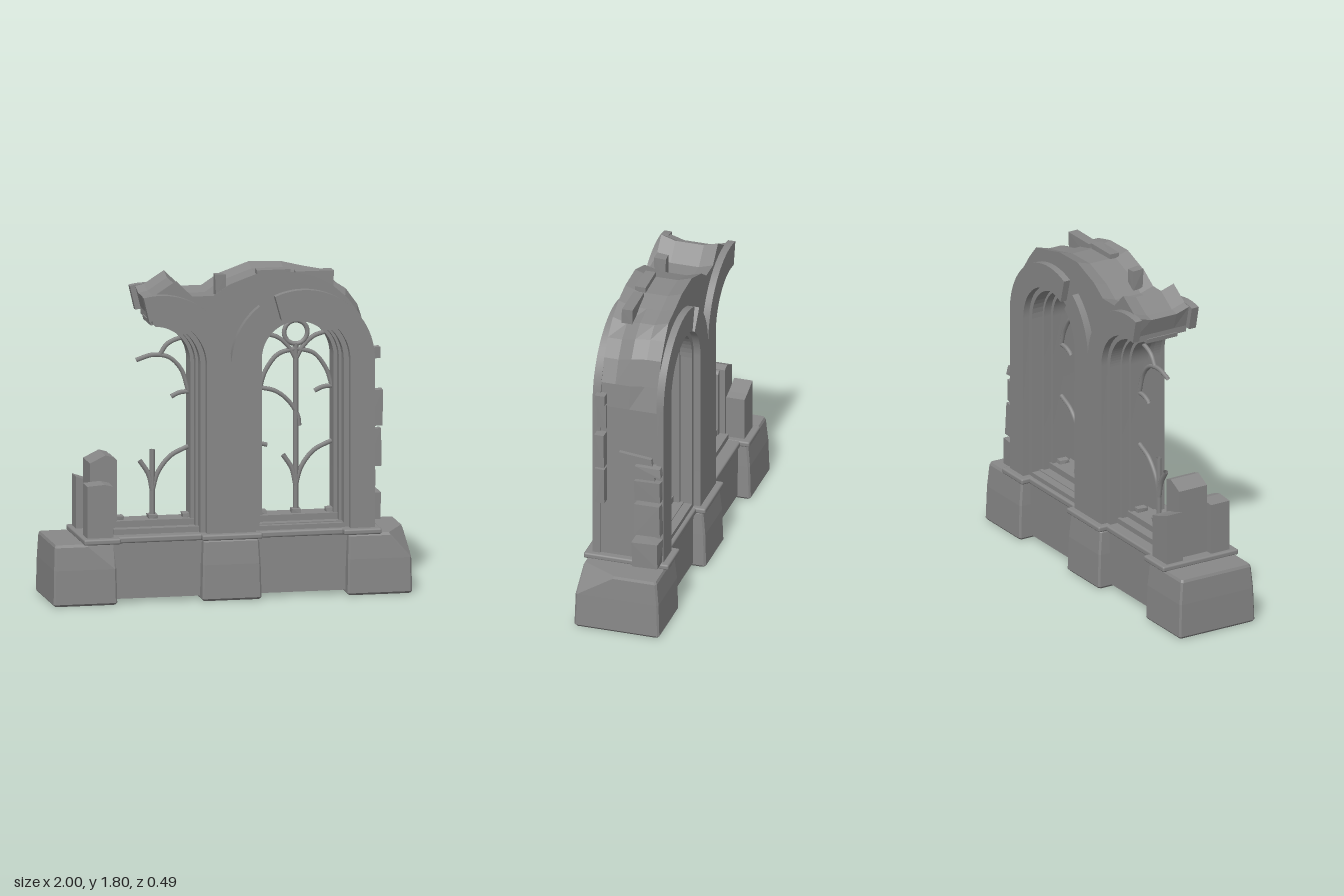
import * as THREE from 'three';
import { toCreasedNormals } from 'three/addons/utils/BufferGeometryUtils.js';
import { RoundedBoxGeometry } from 'three/addons/geometries/RoundedBoxGeometry.js';
import { ConvexGeometry } from 'three/addons/geometries/ConvexGeometry.js';

const SPRING = 1.3, FLOOR = 0.365, STONE = 0x888888;

export function createModel() {
  const model = new THREE.Group();
  const flat = new THREE.MeshStandardMaterial({ color: STONE, flatShading: true });
  const smooth = new THREE.MeshStandardMaterial({ color: STONE, side: THREE.DoubleSide });

  const add = (name, geometry, material = flat) => {
    const mesh = new THREE.Mesh(geometry, material);
    mesh.name = name;
    model.add(mesh);
    return mesh;
  };
  let seed = 7;
  const rand = () => ((seed = (seed * 16807) % 2147483647) / 2147483647) * 2 - 1;

  // Box from limits, with corners optionally knocked out of true
  const block = (name, x0, x1, y0, y1, z0, z1, rough = 0) => {
    const pts = [];
    for (const x of [x0, x1]) for (const y of [y0, y1]) for (const z of [z0, z1])
      pts.push(new THREE.Vector3(x + rand() * rough, y + rand() * rough, z + rand() * rough));
    add(name, new ConvexGeometry(pts));
  };
  const slab = (name, x0, x1, y0, y1, z0, z1) => {
    const g = new RoundedBoxGeometry(x1 - x0, y1 - y0, z1 - z0, 2, 0.01);
    g.translate((x0 + x1) / 2, (y0 + y1) / 2, (z0 + z1) / 2);
    add(name, g, smooth);
  };
  const extrude = (shape, z0, z1, steps = 1) => {
    const g = new THREE.ExtrudeGeometry(shape, { depth: z1 - z0, steps, bevelEnabled: false, curveSegments: 24 });
    return g.translate(0, 0, z0);
  };

  // Points along an arch: optional right leg, arc in degrees, optional left leg
  const archLine = (cx, r, a0, a1, bottom) => {
    const pts = [];
    if (a0 === 0) pts.push(new THREE.Vector2(cx + r, bottom));
    for (let i = 0; i <= 24; i++) {
      const a = THREE.MathUtils.degToRad(a0 + (a1 - a0) * i / 24);
      pts.push(new THREE.Vector2(cx + r * Math.cos(a), SPRING + r * Math.sin(a)));
    }
    if (a1 === 180) pts.push(new THREE.Vector2(cx - r, bottom));
    return pts;
  };
  const band = (name, cx, ri, ro, a0, a1, z0, z1, skew = 0) => {
    const outer = archLine(cx, ro, a0, a1, FLOOR);
    const inner = archLine(cx, ri, a0, a1 + skew, FLOOR).reverse();
    add(name, toCreasedNormals(extrude(new THREE.Shape([...outer, ...inner]), z0, z1), 0.5), smooth);
  };

  // Plinths: slightly battered blocks; one top corner may be worn back by the chip depths
  const plinth = (name, x0, x1, chip = [0, 0, 0, 0]) => {
    const pts = [];
    for (const [y, inX, inZ] of [[0, 0.01, 0.01], [0.012, 0, 0], [0.2, 0.004, 0.006], [0.325, 0.01, 0.018], [0.34, 0.016, 0.025]])
      for (const sx of [-1, 1]) for (const sz of [-1, 1]) {
        const worn = sx === chip[0] && sz === chip[1] && y > 0.2;
        const x = (sx < 0 ? x0 : x1) - sx * inX, z = sz * (0.243 - inZ);
        const cutX = worn ? chip[2] : 0.01, cutZ = worn ? chip[3] : 0.01;
        pts.push(new THREE.Vector3(x - sx * cutX, y, z), new THREE.Vector3(x, y, z - sz * cutZ));
      }
    add(name, new ConvexGeometry(pts));
  };
  plinth('rightPlinth', -1, -0.645, [1, 1, 0.15, 0.05]);
  plinth('centrePlinth', -0.17, 0.16);
  plinth('leftPlinth', 0.64, 1, [1, 1, 0.11, 0.2]);
  block('baseWall', -0.8, 0.8, 0.02, 0.345, -0.17, 0.17);

  // Ledge moulding, stepping out over each plinth
  slab('ledge', -0.8, 0.8, 0.33, 0.365, -0.19, 0.19);
  for (const [x0, x1] of [[-0.83, -0.625], [-0.17, 0.165], [0.62, 0.83]])
    slab('plinthLedge', x0, x1, 0.335, 0.367, -0.243, 0.243);

  // Ruined core wall: jagged top, broken left arch, one full opening
  const top = [[-0.43, 1.57], [-0.46, 1.69], [-0.41, 1.70], [-0.30, 1.77], [-0.21, 1.68], [-0.09, 1.68],
    [0, 1.74], [0.17, 1.8], [0.35, 1.795], [0.47, 1.765], [0.59, 1.74], [0.68, 1.66], [0.745, 1.57],
    [0.78, 1.42], [0.79, 1.28], [0.79, FLOOR]].map(p => new THREE.Vector2(...p));
  const core = new THREE.Shape([...archLine(-0.4, 0.235, 0, 97, FLOOR), ...top]);
  core.holes.push(new THREE.Path(archLine(0.4, 0.235, 0, 180, 0.39)));
  const coreGeo = extrude(core, -0.168, 0.157, 4);
  const p = coreGeo.attributes.position;
  for (let i = 0; i < p.count; i++) {
    const x = p.getX(i), y = p.getY(i), z = p.getZ(i);
    // hollow the middle of the top and wear back the upper left shoulder
    if (y > 1.66 && Math.abs(z) < 0.12) p.setY(i, y - 0.025);
    if (x > 0.58 && y > 1.5 && z > 0.05) p.setXY(i, x - 0.02, p.getY(i) - 0.025);
    if (x > 0.66 && y > 1.4 && z < -0.05) p.setX(i, x - 0.02);
  }
  coreGeo.computeVertexNormals();
  add('coreWall', coreGeo);

  // Arch faces on front and back, and stepped reveals inside them
  for (const [z0, z1] of [[0.155, 0.2], [-0.207, -0.165]]) {
    band('archFace', 0.4, 0.263, 0.4, 0, 113, z0, z1, 4);
    band('archFace', 0.4, 0.263, 0.4, 127, 180, z0, z1);
    band('brokenArchFace', -0.4, 0.263, 0.4, 0, 103, z0, z1);
  }
  for (const [r, z] of [[0.22, 0.1], [0.2, 0.055]]) {
    band('windowReveal', 0.4, r, 0.245, 0, 180, -z, z);
    band('brokenReveal', -0.4, r, 0.245, 0, r < 0.21 ? 88 : 98, -z, z);
  }

  // Stepped sills with small feet for the tracery
  for (const cx of [-0.4, 0.4]) {
    block('sillStep', cx - 0.24, cx + 0.24, 0.35, 0.395, -0.12, 0.12);
    block('sill', cx - 0.24, cx + 0.24, 0.35, 0.43, -0.065, 0.065);
    for (const dx of [-0.19, 0, 0.19])
      block('traceryFoot', cx + dx - 0.025, cx + dx + 0.025, 0.42, 0.452, -0.03, 0.03, 0.003);
  }

  // Tracery bars
  const bar = (pts, r = 0.013) => {
    const curve = new THREE.CatmullRomCurve3(pts.map(([x, y]) => new THREE.Vector3(x, y, 0)));
    add('traceryBar', new THREE.TubeGeometry(curve, pts.length * 5, r, 6), smooth);
  };
  bar([[0.4, 0.43], [0.4, 1.37]], 0.015);
  bar([[-0.4, 0.43], [-0.4, 0.81]], 0.015);
  for (const cx of [-0.4, 0.4]) {
    bar([[cx, 0.58], [cx + 0.03, 0.68], [cx + 0.1, 0.77], [cx + 0.2, 0.82]]);
    bar([[cx, 0.58], [cx - 0.02, 0.67], [cx - 0.07, 0.75]], 0.015);
    bar([[cx + 0.2, 1.125], [cx + 0.15, 1.12], [cx + 0.105, 1.1]]);
  }
  bar([[0.2, 0.82], [0.24, 0.81]]);
  bar([[0.42, 0.91], [0.41, 0.97], [0.35, 1.06], [0.28, 1.11], [0.2, 1.13]]);
  for (const s of [-1, 1]) {
    bar([[0.4 + s * 0.2, 1.13], [0.4 + s * 0.17, 1.22], [0.4 + s * 0.1, 1.31], [0.4, 1.34]]);
    bar([[0.4, 1.28], [0.4 + s * 0.04, 1.35], [0.4 + s * 0.1, 1.405], [0.4 + s * 0.18, 1.43]]);
  }
  bar([[-0.2, 1.13], [-0.24, 1.25], [-0.31, 1.32], [-0.4, 1.335], [-0.49, 1.31]]);
  bar([[-0.36, 1.33], [-0.32, 1.39], [-0.26, 1.42], [-0.2, 1.43]]);
  const ring = add('traceryRing', new THREE.TorusGeometry(0.065, 0.013, 8, 28), smooth);
  ring.position.set(0.4, 1.43, 0);

  // Stump of the fallen right pier
  const stump = (x0, x1, z0, z1, yl, yr) => {
    const s = new THREE.Shape([[x0, FLOOR], [x1, FLOOR], [x1, yr], [(x0 + 2 * x1) / 3, yr + 0.012], [x0, yl]]
      .map(q => new THREE.Vector2(...q)));
    add('pierStump', extrude(s, z0, z1));
  };
  stump(-0.805, -0.66, 0.08, 0.2, 0.655, 0.65);
  stump(-0.805, -0.66, -0.205, -0.1, 0.655, 0.61);
  stump(-0.765, -0.635, -0.1, 0.08, 0.76, 0.79);
  stump(-0.65, -0.61, -0.07, 0.06, 0.79, 0.77);

  // Exposed bricks down the broken left side
  for (const [x, y0, y1] of [[0.835, 1.3, 1.36], [0.805, 1.15, 1.29], [0.85, 0.925, 1.125], [0.84, 0.7, 0.91]])
    block('frontBrick', 0.76, x, y0, y1, 0.12, 0.175, 0.002);
  for (const [x, y0, y1] of [[0.84, 0.91, 0.96], [0.84, 0.75, 0.87], [0.857, 0.55, 0.73], [0.885, 0.36, 0.51]])
    block('backBrick', 0.76, x, y0, y1, -0.2, -0.052, 0.005);
  add('brokenSlab', new ConvexGeometry([[0.72, 0.08], [0.75, -0.18], [1.02, 0.045], [1.0, -0.14]]
    .flatMap(([y, z]) => [0.77, 0.815].map(x => new THREE.Vector3(x, y, z)))));

  // Loose stones along the top
  block('topStone', -0.07, -0.015, 1.66, 1.785, 0.04, 0.105, 0.004);
  block('topStone', 0.165, 0.35, 1.72, 1.8, 0.04, 0.1, 0.003);
  block('topStone', 0.38, 0.59, 1.7, 1.785, 0.04, 0.1, 0.003);

  return model;
}
